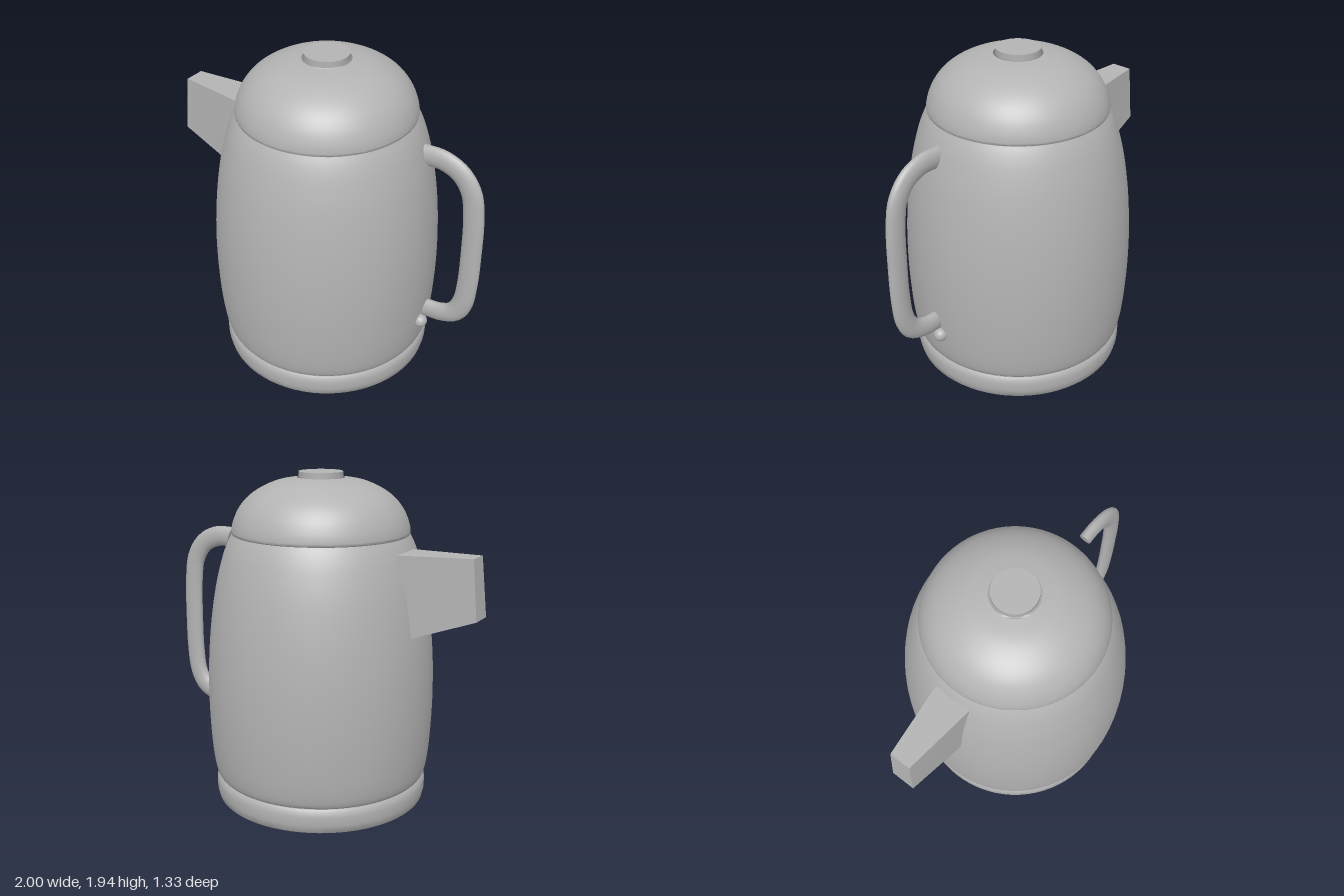
import * as THREE from 'three';
import { toCreasedNormals } from 'three/addons/utils/BufferGeometryUtils.js';

const AXIS = -0.005; // x of the pot's centre line

const v2 = (pts) => pts.map(([x, y]) => new THREE.Vector2(x, y));

// Surface of revolution; dense = number of samples for a smooth profile
function revolve(pts, dense) {
  let profile = v2(pts);
  if (dense) profile = new THREE.SplineCurve(profile).getPoints(dense);
  return toCreasedNormals(new THREE.LatheGeometry(profile, 72), 0.7);
}

// Box with tapered ends: tip and root each give top/bottom [x, y, halfWidth]
function spoutGeometry(tip, root) {
  const geo = new THREE.BoxGeometry(1, 1, 1);
  const p = geo.attributes.position;
  for (let i = 0; i < p.count; i++) {
    const end = p.getX(i) < 0 ? tip : root;
    const [x, y, w] = p.getY(i) > 0 ? end.top : end.bottom;
    p.setXYZ(i, x, y, Math.sign(p.getZ(i)) * w);
  }
  geo.computeVertexNormals();
  return geo;
}

// Oval bar swept along a path in the xy plane, with slanted, capped ends
function handleGeometry(path, steps, sides, halfThick, halfWide) {
  const curve = new THREE.CatmullRomCurve3(path.map(([x, y]) => new THREE.Vector3(x, y, 0)));
  const pos = [], index = [];
  for (let i = 0; i <= steps; i++) {
    const c = curve.getPointAt(i / steps), t = curve.getTangentAt(i / steps);
    const slant = i === 0 ? -0.33 : i === steps ? 0.25 : 0;
    for (let j = 0; j < sides; j++) {
      const a = (j / sides) * Math.PI * 2;
      const n = Math.cos(a) * halfThick;
      const dy = t.x * n;
      pos.push(c.x - t.y * n + slant * dy, c.y + dy, Math.sin(a) * halfWide);
      if (i < steps) {
        const k = (j + 1) % sides, p = i * sides, q = p + sides;
        index.push(p + j, q + j, p + k, p + k, q + j, q + k);
      }
    }
  }
  for (let j = 1; j < sides - 1; j++) {
    const e = steps * sides;
    index.push(0, j, j + 1, e, e + j + 1, e + j);
  }
  const geo = new THREE.BufferGeometry();
  geo.setAttribute('position', new THREE.Float32BufferAttribute(pos, 3));
  geo.setIndex(index);
  return toCreasedNormals(geo, 0.9);
}

export function createModel() {
  const group = new THREE.Group();
  const steel = new THREE.MeshStandardMaterial({ color: 0xb3b3b3, side: THREE.DoubleSide });
  steel.name = 'plain grey';

  const add = (name, geo, x = 0, y = 0, z = 0) => {
    const mesh = new THREE.Mesh(geo, steel);
    mesh.name = name;
    mesh.position.set(x, y, z);
    group.add(mesh);
  };

  // Hollow base ring, open underneath
  add('base', revolve([
    [0.595, 0.14], [0.595, 0.012], [0.6, 0], [0.615, 0], [0.622, 0.008],
    [0.632, 0.05], [0.633, 0.1], [0.629, 0.128], [0.618, 0.143], [0.595, 0.143],
  ]), AXIS);

  // Open barrel-shaped body
  add('body', revolve([
    [0.6, 0.143], [0.62, 0.15], [0.636, 0.19], [0.65, 0.28], [0.661, 0.42], [0.667, 0.6],
    [0.664, 0.8], [0.652, 0.98], [0.632, 1.15], [0.602, 1.32], [0.565, 1.46],
    [0.535, 1.54], [0.51, 1.588],
  ], 48), AXIS);

  // Domed lid with a hole around the knob
  add('lid', revolve([
    [0.49, 1.585], [0.508, 1.589], [0.513, 1.605], [0.503, 1.655], [0.475, 1.72],
    [0.425, 1.785], [0.35, 1.84], [0.25, 1.883], [0.137, 1.903],
  ], 40), AXIS);
  add('knob', new THREE.CylinderGeometry(0.126, 0.126, 0.035, 48), AXIS, 1.919);

  // Tapered spout
  add('spout', spoutGeometry(
    { top: [-0.968, 1.535, 0.062], bottom: [-1, 1.2, 0.07] },
    { top: [-0.54, 1.522, 0.112], bottom: [-0.61, 1.057, 0.105] },
  ));

  // Handle and the small stud beneath it
  add('handle', handleGeometry([
    [0.632, 1.506], [0.73, 1.504], [0.835, 1.457], [0.905, 1.36], [0.932, 1.2], [0.938, 1],
    [0.935, 0.76], [0.915, 0.61], [0.865, 0.525], [0.78, 0.488], [0.685, 0.48],
  ], 48, 16, 0.061, 0.034), 0, 0, 0);
  add('stud', new THREE.SphereGeometry(0.041, 24, 16), 0.661, 0.361);

  return group;
}
